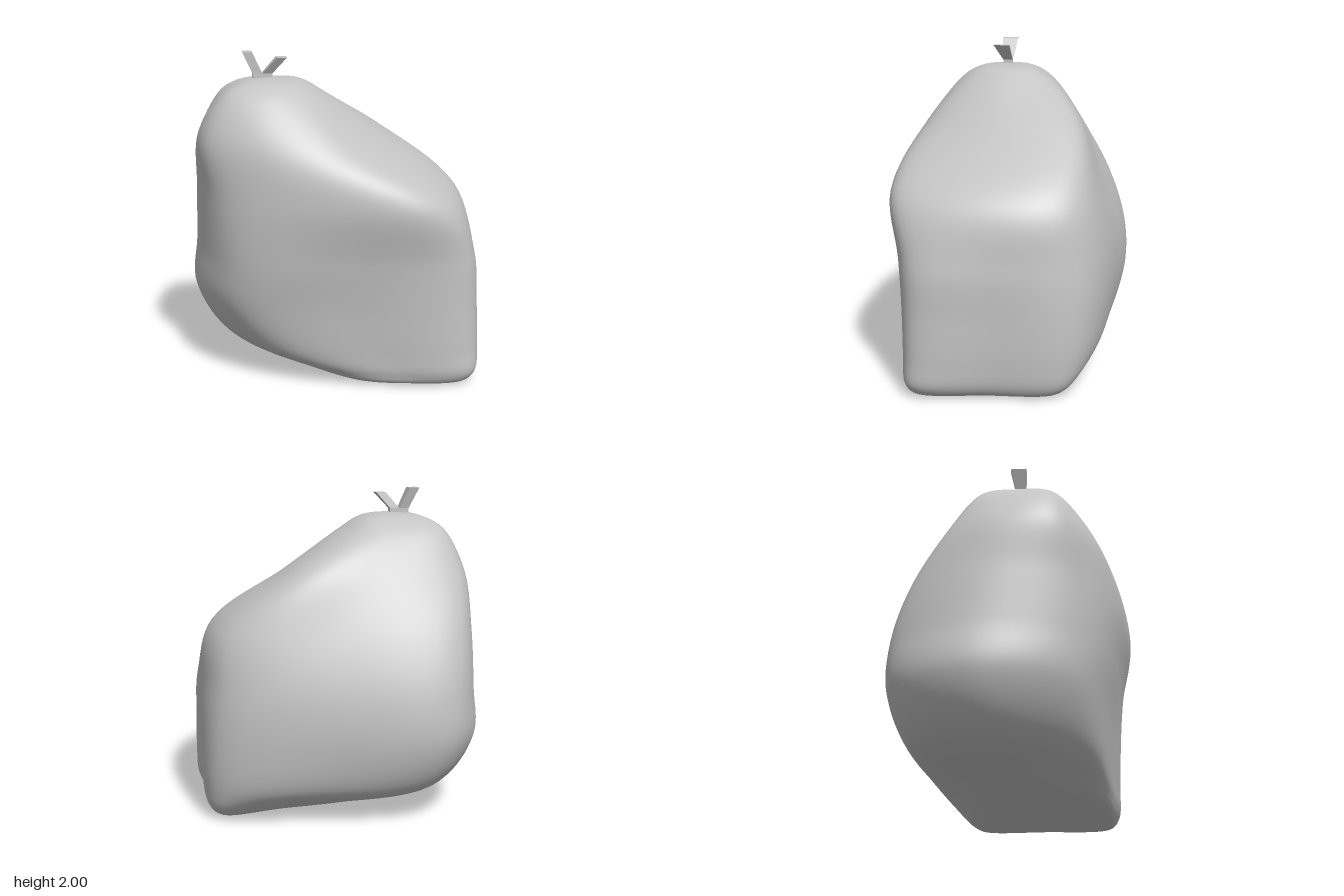
import * as THREE from 'three';

const grey = new THREE.MeshStandardMaterial({ color: 0xc4c4c4 });
grey.name = 'plain grey';

// Body sections: height, then the x, z of four corners in the order
// front -x, front +x, back +x, back -x.
const sections = [
  [0, 0.18, 0.42, 0.7, 0.5, 0.69, -0.22, 0.18, -0.08],
  [0.02, 0.1, 0.47, 0.77, 0.56, 0.76, -0.28, 0.06, -0.15],
  [0.08, -0.07, 0.46, 0.81, 0.59, 0.79, -0.34, -0.17, -0.29],
  [0.22, -0.4, 0.41, 0.81, 0.59, 0.8, -0.385, -0.47, -0.57],
  [0.5, -0.62, 0.39, 0.79, 0.59, 0.79, -0.42, -0.59, -0.7],
  [0.8, -0.64, 0.43, 0.755, 0.6, 0.755, -0.43, -0.62, -0.69],
  [1.15, -0.69, 0.4, 0.55, 0.68, 0.7, -0.38, -0.66, -0.57],
  [1.5, -0.77, 0.3, 0.01, 0.52, 0.3, -0.37, -0.7, -0.35],
  [1.75, -0.65, 0.25, -0.18, 0.3, -0.12, -0.21, -0.64, -0.19],
];
const bottom = new THREE.Vector3(0.42, 0, 0.15);
const apex = new THREE.Vector3(-0.36, 1.85, 0.06);

// Closed outline of a section: the middle of each side swells away from the centre
function outline([y, ...c], count) {
  const corners = [0, 2, 4, 6].map((i) => new THREE.Vector3(c[i], y, c[i + 1]));
  const centre = corners.reduce((s, v) => s.add(v), new THREE.Vector3()).divideScalar(4);
  const swell = [0.16 + 0.1 * y, 0.08 + 0.12 * y * y, Math.min(0.2, 0.05 + 0.9 * y), 0.45 - 0.18 * y];
  const pts = corners.flatMap((v, i) => {
    const mid = v.clone().lerp(corners[(i + 1) % 4], 0.5);
    return [v, mid.lerp(centre, -swell[i])];
  });
  const curve = new THREE.CatmullRomCurve3(pts, true, 'centripetal');
  return Array.from({ length: count }, (_, i) => curve.getPoint(i / count));
}

// Smooth loft: splines run up through all the outlines to the crown
function bodyGeometry(around = 80, up = 88) {
  const rings = sections.map((s) => outline(s, around));
  // Shoulder ring that rounds off the crown
  rings.push(rings[rings.length - 1].map((v) => v.clone().lerp(apex, 0.42).setY(1.828)));
  const columns = rings[0].map((_, i) =>
    new THREE.CatmullRomCurve3([...rings.map((r) => r[i]), apex], false, 'centripetal').getPoints(up));

  const pos = [...bottom.toArray()];
  for (let j = 0; j < up; j++) {
    for (const column of columns) pos.push(column[j].x, Math.max(0, column[j].y), column[j].z);
  }
  pos.push(...apex.toArray());

  const idx = [];
  const top = 1 + up * around;
  const at = (i, j) => 1 + j * around + (i % around);
  for (let i = 0; i < around; i++) {
    idx.push(0, at(i + 1, 0), at(i, 0));
    for (let j = 0; j < up - 1; j++) {
      idx.push(at(i, j), at(i + 1, j), at(i + 1, j + 1));
      idx.push(at(i, j), at(i + 1, j + 1), at(i, j + 1));
    }
    idx.push(at(i, up - 1), at(i + 1, up - 1), top);
  }
  const g = new THREE.BufferGeometry();
  g.setAttribute('position', new THREE.Float32BufferAttribute(pos, 3));
  g.setIndex(idx);
  g.computeVertexNormals();
  return g;
}

// Box 0.06 wide whose lower and upper ends have their own place and depth
function prism(name, lo, hi) {
  const g = new THREE.BoxGeometry(0.06, 1, 1);
  const a = g.attributes.position;
  for (let i = 0; i < a.count; i++) {
    const e = a.getY(i) > 0 ? hi : lo;
    a.setXYZ(i, e.x + a.getX(i), e.y, e.z + a.getZ(i) * e.d);
  }
  g.computeVertexNormals();
  const m = new THREE.Mesh(g, grey);
  m.name = name;
  return m;
}

export function createModel() {
  const model = new THREE.Group();
  model.name = 'fruit';

  const body = new THREE.Mesh(bodyGeometry(), grey);
  body.name = 'body';
  model.add(body);

  // Forked sprig on the crown
  const sprig = new THREE.Group();
  sprig.name = 'sprig';
  const stem = new THREE.Mesh(new THREE.BoxGeometry(0.12, 0.06, 0.06), grey);
  stem.name = 'stem';
  stem.position.set(-0.42, 1.845, 0.05);
  sprig.add(
    stem,
    prism('tallProng', { x: -0.45, y: 1.87, z: 0.05, d: 0.06 }, { x: -0.51, y: 2, z: 0.037, d: 0.1 }),
    prism('shortProng', { x: -0.39, y: 1.87, z: 0.05, d: 0.06 }, { x: -0.305, y: 1.97, z: 0.088, d: 0.1 }),
  );
  model.add(sprig);
  return model;
}
